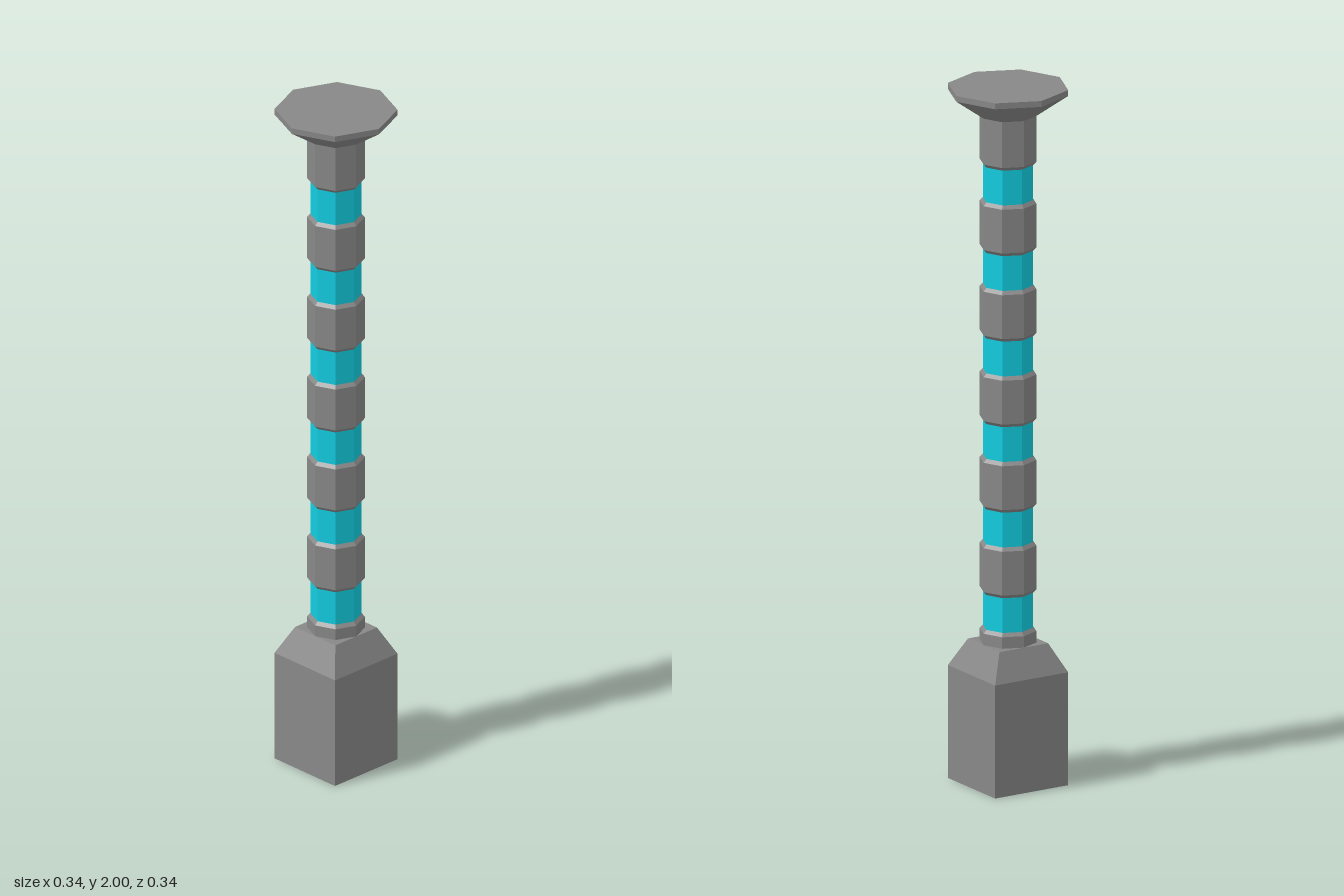
import * as THREE from 'three';

const grey = new THREE.MeshStandardMaterial({ color: 0x888888, flatShading: true });
const cyan = new THREE.MeshStandardMaterial({ color: 0x12cde0, flatShading: true });

// Faceted solid from a [radius, height] profile listed bottom to top
function turned(name, profile, sides, material) {
  const points = profile.map(([r, y]) => new THREE.Vector2(r, y));
  const mesh = new THREE.Mesh(new THREE.LatheGeometry(points, sides), material);
  mesh.name = name;
  return mesh;
}

export function createModel() {
  const group = new THREE.Group();
  group.name = 'column';

  // Square pedestal with sloping shoulders
  const k = Math.SQRT2;
  const base = turned('pedestal', [
    [0, 0], [0.12 * k, 0], [0.12 * k, 0.325], [0.08 * k, 0.405], [0, 0.405],
  ], 4, grey);
  base.rotation.y = Math.PI / 4;
  group.add(base);

  // Shaft: recessed coloured bands alternating with bevelled grey collars
  const outer = 0.08, inner = 0.071, bevel = 0.01, pitch = 0.246, band = 0.1;
  const firstBand = 0.448, bands = 6;
  group.add(turned('footCollar', [
    [outer, 0.405], [outer, firstBand - bevel], [inner, firstBand],
  ], 8, grey));
  for (let i = 0; i < bands; i++) {
    const y0 = firstBand + i * pitch;
    const y1 = y0 + band;
    const y2 = y0 + pitch;
    group.add(turned('colouredBand', [[inner, y0], [inner, y1]], 8, cyan));
    const collar = [[inner, y1], [outer, y1 + bevel]];
    if (i < bands - 1) collar.push([outer, y2 - bevel], [inner, y2]);
    else collar.push([outer, 1.92]);
    group.add(turned(i < bands - 1 ? 'collar' : 'neckCollar', collar, 8, grey));
  }

  // Flared octagonal capital
  group.add(turned('capital', [
    [0, 1.92], [outer, 1.92], [0.17, 1.983], [0.17, 2], [0, 2],
  ], 8, grey));

  return group;
}
